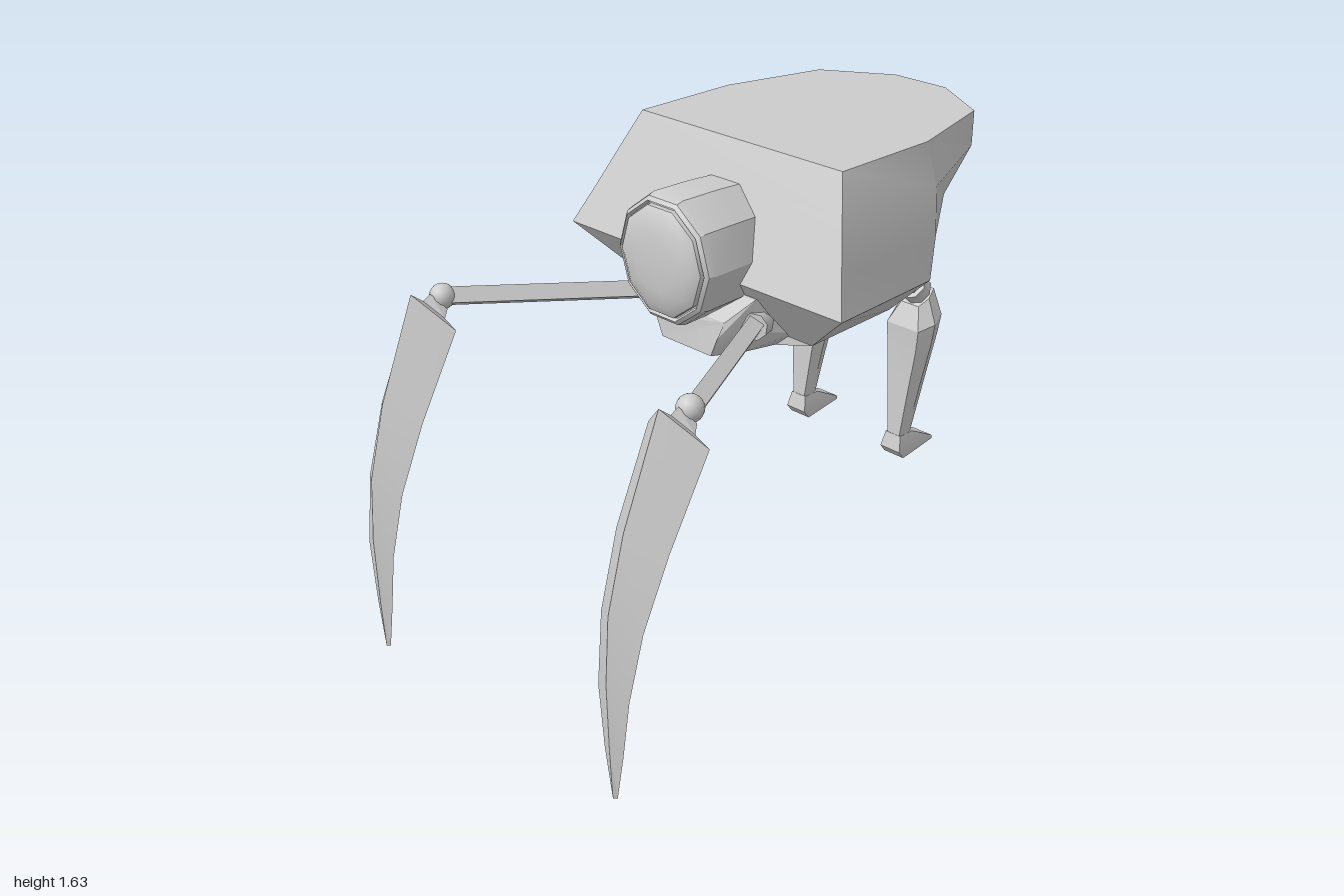
import * as THREE from 'three';
import { toCreasedNormals } from 'three/addons/utils/BufferGeometryUtils.js';

const grey = new THREE.MeshStandardMaterial({ color: 0xcccccc });

function add(parent, name, geometry) {
  const mesh = new THREE.Mesh(geometry, grey);
  mesh.name = name;
  parent.add(mesh);
  return mesh;
}

// Skin a list of equal-length closed rings, cap both ends and face everything outward.
function loft(rings, crease = 0.3) {
  const tris = [];
  const n = rings[0].length;
  for (let r = 0; r < rings.length - 1; r++) {
    for (let i = 0; i < n; i++) {
      const j = (i + 1) % n;
      const [a, b, c, d] = [rings[r][i], rings[r][j], rings[r + 1][j], rings[r + 1][i]];
      tris.push([a, b, c], [a, c, d]);
    }
  }
  const last = rings[rings.length - 1];
  for (let i = 1; i < n - 1; i++) {
    tris.push([rings[0][0], rings[0][i + 1], rings[0][i]], [last[0], last[i], last[i + 1]]);
  }
  let volume = 0;
  const v = (p) => new THREE.Vector3(...p);
  for (const [a, b, c] of tris) volume += v(a).dot(v(b).cross(v(c)));
  if (volume < 0) tris.forEach((t) => t.reverse());
  const geometry = new THREE.BufferGeometry();
  geometry.setAttribute('position', new THREE.Float32BufferAttribute(tris.flat(2), 3));
  geometry.computeVertexNormals();
  return toCreasedNormals(geometry, crease);
}

// Complete a half ring by mirroring it in x.
const mirrored = (half) => [...half, ...half.map(([x, y, z]) => [-x, y, z]).reverse()];

// Straight bar between two points.
function bar(parent, name, from, to, r0, r1, sides) {
  const a = new THREE.Vector3(...from), b = new THREE.Vector3(...to);
  const dir = b.clone().sub(a);
  const geo = new THREE.CylinderGeometry(r1, r0, dir.length(), sides);
  if (sides === 4) geo.rotateY(Math.PI / 4);
  const mesh = add(parent, name, toCreasedNormals(geo, 0.9));
  mesh.position.copy(a).add(b).multiplyScalar(0.5);
  mesh.quaternion.setFromUnitVectors(new THREE.Vector3(0, 1, 0), dir.normalize());
  return mesh;
}

function frontLeg(side) {
  const leg = new THREE.Group();
  leg.name = side > 0 ? 'leftFrontLeg' : 'rightFrontLeg';
  const x = 0.56 * side;
  bar(leg, 'shoulder', [0.17 * side, 1.10, -0.04], [0.22 * side, 1.11, 0.05], 0.055, 0.045, 8);
  bar(leg, 'strut', [0.2 * side, 1.108, 0.02], [x, 1.162, 0.65], 0.037, 0.037, 4);
  add(leg, 'elbow', new THREE.SphereGeometry(0.042, 16, 12)).position.set(x, 1.165, 0.66);

  // front ridge z, y; back ridge z, y; half width
  const sections = [
    [0.705, 1.185, 0.655, 1.11, 0.04],
    [0.735, 1.17, 0.68, 1.09, 0.06],
    [0.78, 1.205, 0.665, 1.04, 0.122],
    [0.92, 0.87, 0.81, 0.79, 0.108],
    [0.985, 0.63, 0.905, 0.565, 0.088],
    [1.0, 0.41, 0.957, 0.34, 0.066],
    [0.995, 0.18, 0.968, 0.15, 0.04],
    [0.987, 0, 0.973, 0, 0.011],
  ];
  add(leg, 'blade', loft(sections.map(([zf, yf, zb, yb, w]) => {
    const z = zf * 0.35 + zb * 0.65, y = yf * 0.35 + yb * 0.65;
    return [[x, yf, zf], [x + w, y, z], [x, yb, zb], [x - w, y, z]];
  })));
  return leg;
}

function rearLeg(side) {
  const leg = new THREE.Group();
  leg.name = side > 0 ? 'leftRearLeg' : 'rightRearLeg';
  const x = 0.225 * side;
  bar(leg, 'hip', [x, 1.11, -0.63], [x, 0.98, -0.775], 0.034, 0.034, 8);
  bar(leg, 'hipCollar', [x, 1.025, -0.725], [x, 0.995, -0.76], 0.052, 0.052, 8);

  // front z, y; back z, y; half width
  const ring = ([zf, yf, zb, yb, w]) => {
    const z = (zf + zb) / 2, y = (yf + yb) / 2;
    return [
      [x + w * 0.75, yf, zf], [x + w, y, z], [x + w * 0.75, yb, zb],
      [x - w * 0.75, yb, zb], [x - w, y, z], [x - w * 0.75, yf, zf],
    ];
  };
  add(leg, 'shin', loft([
    [-0.72, 0.955, -0.8, 1.0, 0.05],
    [-0.685, 0.88, -0.81, 0.91, 0.092],
    [-0.685, 0.8, -0.8, 0.84, 0.083],
    [-0.675, 0.65, -0.768, 0.68, 0.06],
    [-0.662, 0.46, -0.725, 0.475, 0.034],
  ].map(ring)));

  // Foot with its toe pointing backwards
  add(leg, 'foot', loft([
    [[0.033, 0.475, -0.662], [0.033, 0.475, -0.728]],
    [[0.043, 0.42, -0.648], [0.044, 0.425, -0.828]],
    [[0.043, 0.39, -0.672], [0.044, 0.413, -0.828]],
  ].map((h) => mirrored(h).map(([px, y, z]) => [px + x, y, z]))));
  return leg;
}

export function createModel() {
  const model = new THREE.Group();
  model.name = 'walker';

  // Upper shell: flat roof, sloping front, bulging sides and back
  const roof = [[0.435, 1.635, -0.1], [0.435, 1.635, -0.5], [0.34, 1.635, -0.86], [0.11, 1.635, -1]];
  const waist = [[0.486, 1.515, -0.045], [0.48, 1.5, -0.5], [0.345, 1.52, -0.85], [0.11, 1.53, -0.985]];
  const flank = [[0.545, 1.375, 0.018], [0.495, 1.34, -0.49], [0.32, 1.37, -0.75], [0.11, 1.39, -0.9]];
  const rim = [[0.6, 1.25, 0.075], [0.49, 1.19, -0.48], [0.3, 1.21, -0.64], [0.11, 1.25, -0.8]];
  add(model, 'shell', loft([roof, waist, flank, rim].map(mirrored), 0.5));

  // Underbody tapering to a narrow belly
  const keel = [[0.35, 1.045, -0.08], [0.33, 1.04, -0.48], [0.26, 1.085, -0.64], [0.11, 1.14, -0.8]];
  const belly = [[0.2, 1.0, -0.08], [0.2, 1.0, -0.48], [0.18, 1.08, -0.64], [0.1, 1.135, -0.79]];
  add(model, 'underbody', loft([rim, keel, belly].map(mirrored), 0.4));

  // Chin under the head
  add(model, 'chin', loft([
    [[0.27, 1.2, -0.1], [0.27, 1.06, -0.1], [0.2, 1.0, -0.1]],
    [[0.22, 1.2, 0.04], [0.2, 1.08, 0.04], [0.16, 1.0, 0.04]],
    [[0.15, 1.12, 0.11], [0.14, 1.07, 0.13], [0.11, 1.0, 0.13]],
  ].map(mirrored)));

  // Ten-sided head barrel with a recessed rim and a domed lens
  const head = new THREE.Group();
  head.name = 'head';
  head.position.set(0, 1.32, 0);
  head.scale.x = 0.96;
  model.add(head);
  const turned = (name, points, crease) => {
    const geo = new THREE.LatheGeometry(points.map((p) => new THREE.Vector2(...p)), 10, Math.PI / 10);
    add(head, name, toCreasedNormals(geo.rotateX(Math.PI / 2), crease));
  };
  turned('headBarrel', [[0, -0.15], [0.2, -0.15], [0.213, 0.05], [0.216, 0.2], [0.208, 0.225],
    [0.195, 0.235], [0.188, 0.222], [0, 0.222]], 0.45);
  turned('lens', [[0.184, 0.215], [0.182, 0.238], [0.15, 0.257], [0.09, 0.267], [0, 0.27]], 0.7);

  for (const side of [1, -1]) model.add(frontLeg(side), rearLeg(side));
  return model;
}
